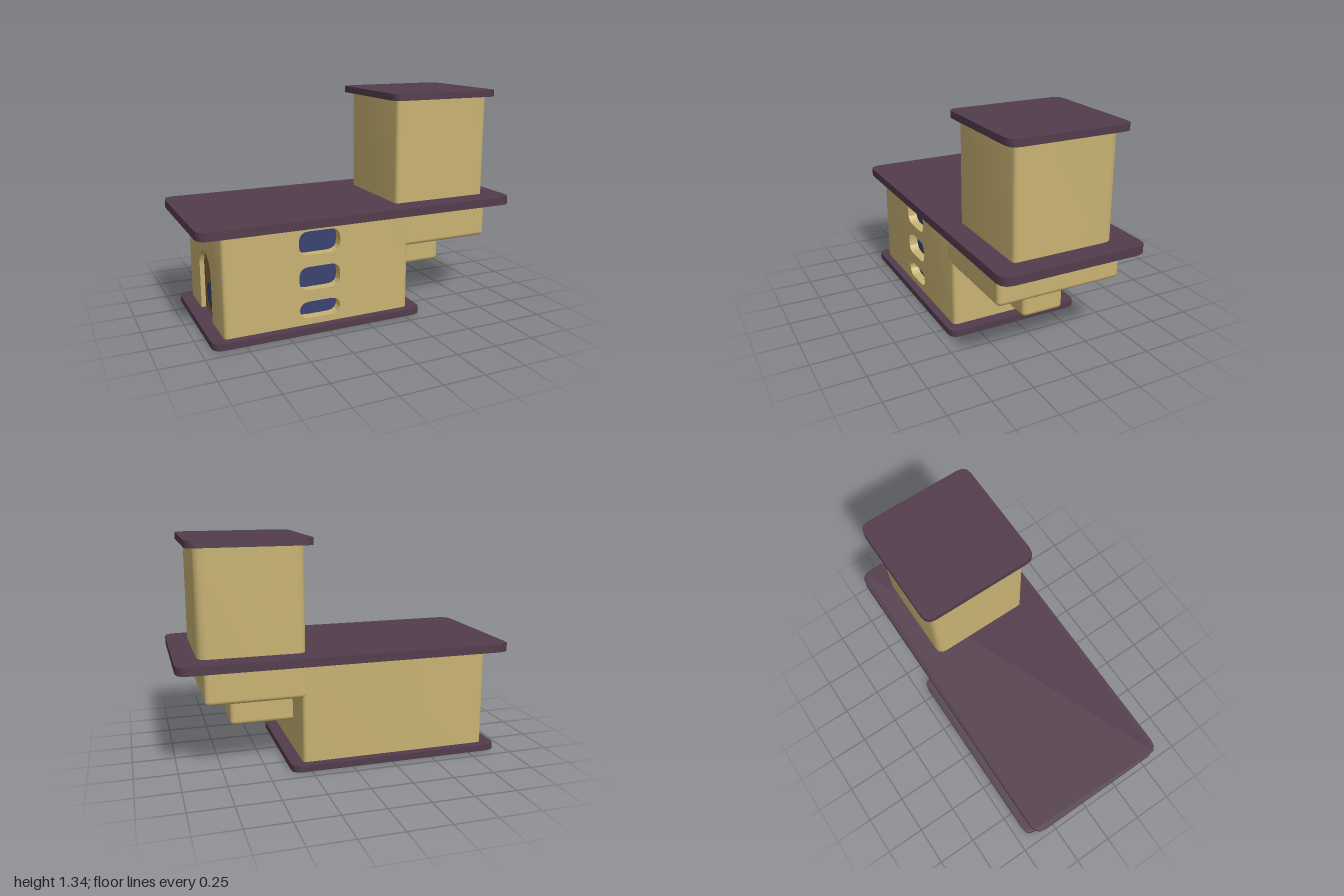
import * as THREE from 'three';
import { toCreasedNormals } from 'three/addons/utils/BufferGeometryUtils.js';
import { RoundedBoxGeometry } from 'three/addons/geometries/RoundedBoxGeometry.js';

const mat = (color) => new THREE.MeshStandardMaterial({ color });
const tan = mat(0xc8b273), plum = mat(0x523c4c), blue = mat(0x3a4272), brown = mat(0x7d6238);

// Rounded rectangle; radii run counter-clockwise from the lower left corner
function roundRect(x0, x1, y0, y1, r, path = new THREE.Shape()) {
  const [a, b, c, d] = Array.isArray(r) ? r : [r, r, r, r];
  path.moveTo(x0 + a, y0);
  path.lineTo(x1 - b, y0);
  path.quadraticCurveTo(x1, y0, x1, y0 + b);
  path.lineTo(x1, y1 - c);
  path.quadraticCurveTo(x1, y1, x1 - c, y1);
  path.lineTo(x0 + d, y1);
  path.quadraticCurveTo(x0, y1, x0, y1 - d);
  path.lineTo(x0, y0 + a);
  path.quadraticCurveTo(x0, y0, x0 + a, y0);
  return path;
}

const extrude = (shape, depth, curveSegments = 3) =>
  new THREE.ExtrudeGeometry(shape, { depth, bevelEnabled: false, curveSegments });

// Extrudes a floor plan (plan y = -z) upward from y0 to y1
const rise = (shape, y0, y1) =>
  toCreasedNormals(extrude(shape, y1 - y0).rotateX(-Math.PI / 2).translate(0, y0, 0), 0.7);

// Arched doorway outline, added to a shape from its right foot to its left foot
function arch(shape, r, spring, foot) {
  shape.lineTo(r, foot);
  shape.lineTo(r, spring);
  shape.absarc(0, spring, r, 0, Math.PI, false);
  shape.lineTo(-r, foot);
  return shape;
}

export function createModel() {
  const model = new THREE.Group();
  const add = (name, geometry, material) => {
    const mesh = new THREE.Mesh(geometry, material);
    mesh.name = name;
    model.add(mesh);
    return mesh;
  };

  // Flat slabs: base, main roof and tower roof
  add('base', rise(roundRect(-0.935, 0.365, -0.435, 0.435, 0.06), 0, 0.04), plum);
  add('mainRoof', rise(roundRect(-1, 1, -0.445, 0.445, 0.07), 0.63, 0.68), plum);
  add('towerRoof', rise(roundRect(0.2, 0.915, -0.36, 0.36, 0.06), 1.3, 1.34), plum);

  // Main body, its plan notched for the window wall and the doorway wall
  const r = 0.025, X0 = -0.86, X1 = 0.29, Z = 0.385;
  const plan = new THREE.Shape();
  plan.moveTo(X0 + r, -Z);
  plan.lineTo(-0.46, -Z);
  plan.lineTo(-0.46, -Z + 0.06);
  plan.lineTo(-0.11, -Z + 0.06);
  plan.lineTo(-0.11, -Z);
  plan.lineTo(X1 - r, -Z);
  plan.quadraticCurveTo(X1, -Z, X1, -Z + r);
  plan.lineTo(X1, Z - r);
  plan.quadraticCurveTo(X1, Z, X1 - r, Z);
  plan.lineTo(X0 + r, Z);
  plan.quadraticCurveTo(X0, Z, X0, Z - r);
  plan.lineTo(X0, 0.18);
  plan.lineTo(X0 + 0.03, 0.18);
  plan.lineTo(X0 + 0.03, -0.18);
  plan.lineTo(X0, -0.18);
  plan.lineTo(X0, -Z + r);
  plan.quadraticCurveTo(X0, -Z, X0 + r, -Z);
  add('body', rise(plan, 0.04, 0.63), tan);

  // Wall with three rounded windows, and the panes behind them
  const wall = roundRect(-0.46, -0.11, 0.04, 0.63, 0);
  for (const [y0, y1] of [[0.08, 0.18], [0.25, 0.39], [0.46, 0.6]]) {
    wall.holes.push(roundRect(-0.415, -0.16, y0, y1, 0.06, new THREE.Path()));
    const pane = add('windowPane', new THREE.PlaneGeometry(0.28, y1 - y0 + 0.02), blue);
    pane.position.set(-0.287, (y0 + y1) / 2, 0.327);
  }
  add('windowWall', extrude(wall, 0.06, 4).translate(0, 0, 0.325), tan);

  // Arched doorway in the end wall, with a door and its small round pane
  const end = new THREE.Shape();
  end.moveTo(0.18, 0.04);
  end.lineTo(0.18, 0.63);
  end.lineTo(-0.18, 0.63);
  end.lineTo(-0.18, 0.04);
  end.lineTo(-0.13, 0.04);
  end.lineTo(-0.13, 0.31);
  end.absarc(0, 0.31, 0.13, Math.PI, 0, true);
  end.lineTo(0.13, 0.04);
  end.closePath();
  add('doorwayWall', extrude(end, 0.03, 10).rotateY(-Math.PI / 2).translate(-0.83, 0, 0), tan);
  const doorShape = new THREE.Shape();
  doorShape.moveTo(-0.13, 0.04);
  arch(doorShape, 0.13, 0.31, 0.04);
  add('door', new THREE.ShapeGeometry(doorShape, 10).rotateY(-Math.PI / 2).translate(-0.832, 0, 0), brown);
  add('doorPane', new THREE.CircleGeometry(0.08, 16).rotateY(-Math.PI / 2).translate(-0.834, 0.16, 0), blue);

  // Overhanging upper floor and the bracket beneath it
  add('overhang', new RoundedBoxGeometry(0.645, 0.23, 2 * Z, 2, 0.025).translate(0.5225, 0.545, 0), tan);
  add('bracket', new RoundedBoxGeometry(0.45, 0.26, 0.26, 2, 0.025).translate(0.447, 0.345, 0), tan);

  // Tower with uneven softened corners
  add('tower', rise(roundRect(0.245, 0.87, -0.31, 0.31, [0.025, 0.025, 0.06, 0.05]), 0.68, 1.3), tan);

  return model;
}
